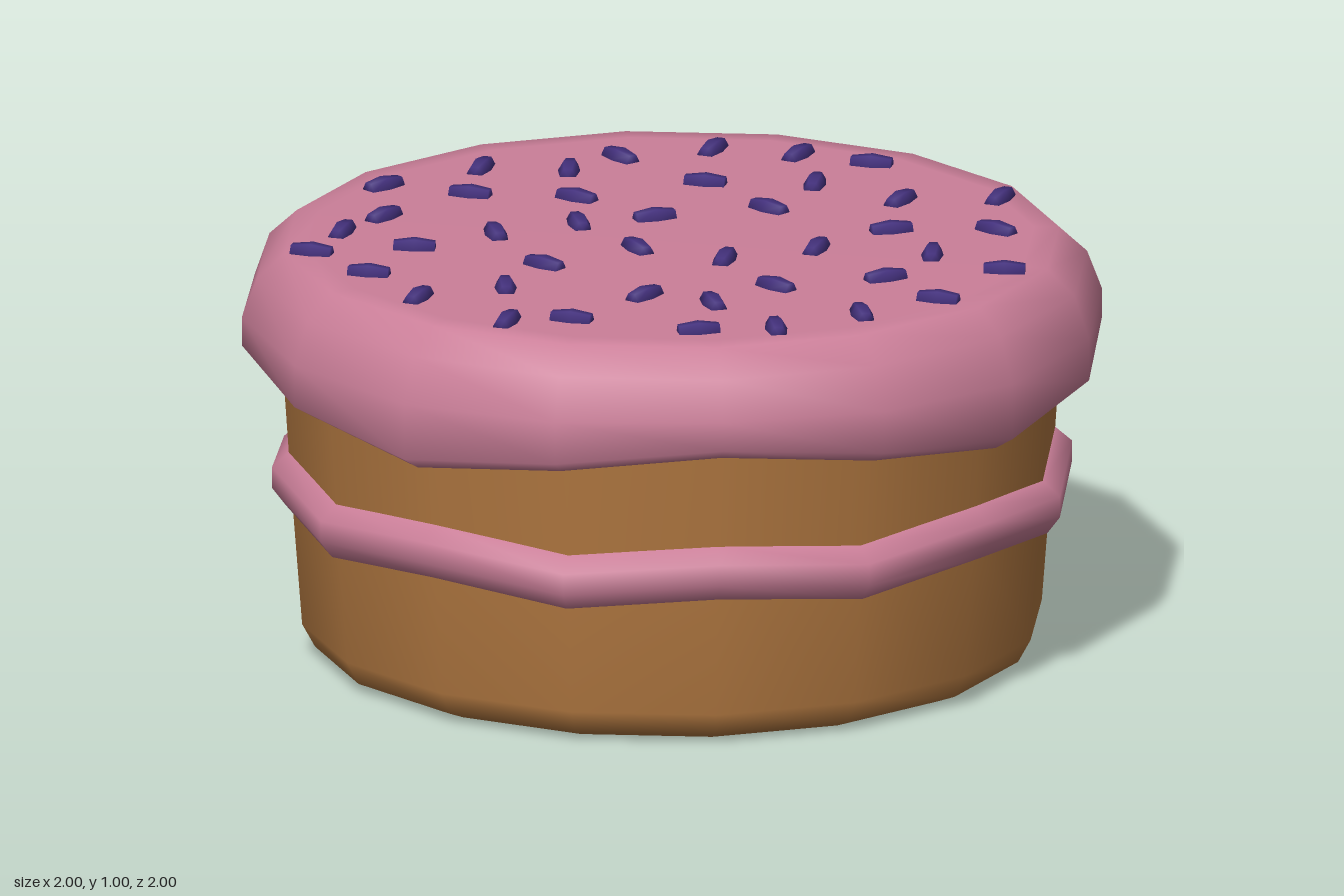
import * as THREE from 'three';

const SIDES = 16;

// Ring of revolution; each point is [radius, y, wave weight], listed bottom to top
function wavyLathe(profile, amplitude, waves) {
  const geo = new THREE.LatheGeometry(profile.map(([r, y]) => new THREE.Vector2(r, y)), SIDES);
  const pos = geo.attributes.position;
  for (let i = 0; i < pos.count; i++) {
    const weight = profile[i % profile.length][2] || 0;
    const angle = Math.floor(i / profile.length) / SIDES * Math.PI * 2;
    pos.setY(i, pos.getY(i) + amplitude * weight * Math.cos(waves * angle));
  }
  return geo;
}

export function createModel() {
  const cakeMat = new THREE.MeshStandardMaterial({ color: 0xb07740 });
  cakeMat.name = 'sponge brown';
  const pinkMat = new THREE.MeshStandardMaterial({ color: 0xcb7f99 });
  pinkMat.name = 'frosting pink';
  const purpleMat = new THREE.MeshStandardMaterial({ color: 0x43307c });
  purpleMat.name = 'sprinkle purple';

  const model = new THREE.Group();
  model.name = 'cake';
  const add = (name, geo, mat, parent = model) => {
    const mesh = new THREE.Mesh(geo, mat);
    mesh.name = name;
    parent.add(mesh);
    return mesh;
  };

  // Sponge body, flaring slightly upward with a rounded foot
  add('sponge', wavyLathe([
    [0, 0], [0.78, 0], [0.83, 0.02], [0.86, 0.075], [0.885, 0.4], [0.908, 0.74],
  ], 0, 0), cakeMat);

  // Cream filling that ripples at every side
  add('filling', wavyLathe([
    [0.86, 0.35, 1], [0.9, 0.35, 1], [0.93, 0.39, 1], [0.93, 0.44, 1], [0.89, 0.475, 1], [0.86, 0.475, 1],
  ], 0.015, 8), pinkMat);

  // Frosting cap with a drooping lower edge
  add('frosting', wavyLathe([
    [0.88, 0.69, 1], [0.95, 0.68, 1], [1, 0.71, 1], [1, 0.81, 0.2],
    [0.965, 0.91], [0.9, 0.97], [0.84, 0.972], [0, 0.972],
  ], 0.04, 4), pinkMat);

  // Sprinkles: [x, z, turn in degrees]
  const spots = [
    [0.18, -0.71, 60], [-0.04, -0.67, 120], [0.37, -0.64, 55], [0.53, -0.55, 160],
    [-0.37, -0.62, 65], [-0.17, -0.58, 80], [-0.61, -0.5, 35], [-0.42, -0.41, 155],
    [-0.18, -0.35, 140], [0.13, -0.44, 160], [0.38, -0.4, 75], [0.25, -0.21, 130],
    [0.56, -0.24, 55], [0.79, -0.23, 60], [-0.64, -0.25, 45], [-0.75, -0.14, 65],
    [-0.4, -0.08, 95], [-0.2, -0.14, 95], [-0.02, -0.17, 15], [-0.84, 0.02, 155],
    [-0.6, 0.01, 168], [0.51, 0, 10], [0.75, 0.03, 135], [-0.09, 0.08, 110],
    [0.32, 0.13, 65], [0.1, 0.19, 70], [-0.32, 0.19, 135], [-0.73, 0.21, 160],
    [0.58, 0.21, 80], [-0.64, 0.42, 60], [-0.43, 0.36, 85], [-0.12, 0.47, 45],
    [0.19, 0.43, 130], [0.45, 0.39, 20], [0.73, 0.36, 170], [0.03, 0.55, 100],
    [0.55, 0.58, 155], [-0.46, 0.64, 65], [-0.31, 0.64, 155], [-0.03, 0.77, 5],
    [0.15, 0.77, 90], [0.36, 0.68, 95],
  ];
  const sprinkleGeo = new THREE.LatheGeometry([
    [0, -0.048], [0.019, -0.048], [0.026, 0], [0.019, 0.048], [0, 0.048],
  ].map(([r, y]) => new THREE.Vector2(r, y)), 6).rotateZ(Math.PI / 2);
  const sprinkles = new THREE.Group();
  sprinkles.name = 'sprinkles';
  model.add(sprinkles);
  for (const [x, z, turn] of spots) {
    const sprinkle = add('sprinkle', sprinkleGeo, purpleMat, sprinkles);
    sprinkle.position.set(x, 0.974, z);
    sprinkle.rotation.y = THREE.MathUtils.degToRad(turn);
  }
  return model;
}
